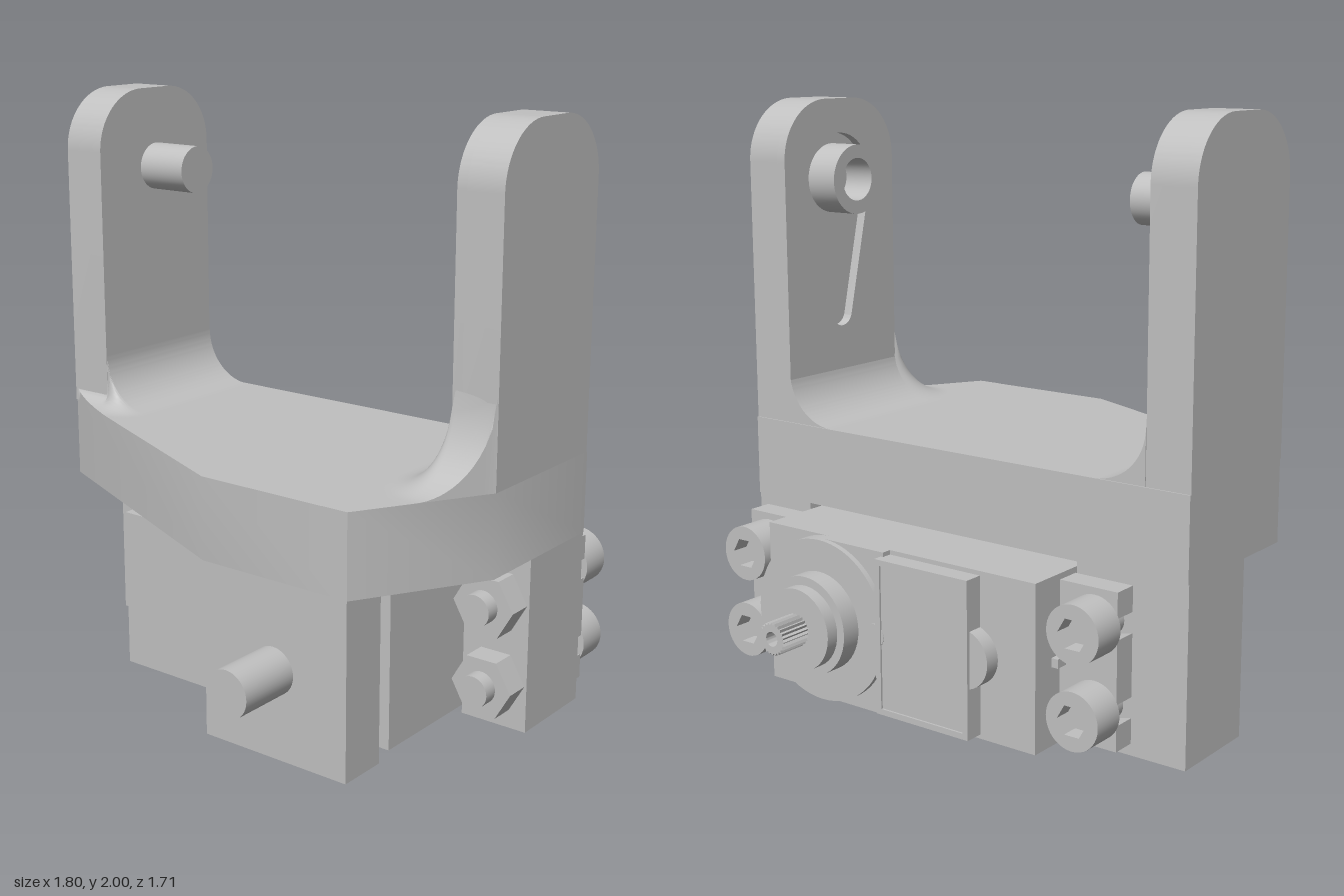
import * as THREE from 'three';
import { toCreasedNormals } from 'three/addons/utils/BufferGeometryUtils.js';

export function createModel() {
  const model = new THREE.Group();
  const grey = new THREE.MeshStandardMaterial({ color: 0xc0c0c0 });
  grey.name = 'grey';

  // ---- helpers ----
  const add = (name, geo) => {
    const mesh = new THREE.Mesh(geo, grey);
    mesh.name = name;
    model.add(mesh);
    return mesh;
  };
  const box = (name, x0, x1, y0, y1, z0, z1) =>
    add(name, new THREE.BoxGeometry(x1 - x0, y1 - y0, z1 - z0)
      .translate((x0 + x1) / 2, (y0 + y1) / 2, (z0 + z1) / 2));
  const poly = (pts) => new THREE.Shape(pts.map(([x, y]) => new THREE.Vector2(x, y)));
  const extrude = (shape, depth) => toCreasedNormals(
    new THREE.ExtrudeGeometry(shape, { depth, bevelEnabled: false, curveSegments: 20 }), 0.6);
  const extrudeZ = (name, shape, z0, z1) => add(name, extrude(shape, z1 - z0).translate(0, 0, z0));
  // shape x is -z here
  const extrudeX = (name, shape, x0, x1) =>
    add(name, extrude(shape, x1 - x0).rotateY(Math.PI / 2).translate(x0, 0, 0));
  const rodZ = (name, x, y, r, z0, z1, sides = 40) =>
    add(name, new THREE.CylinderGeometry(r, r, z1 - z0, sides)
      .rotateX(Math.PI / 2).translate(x, y, (z0 + z1) / 2));
  const circle = (x, y, r) => new THREE.Shape().absarc(x, y, r, 0, Math.PI * 2, false);
  const ring = (x, y, r, hole) => {
    const s = circle(x, y, r);
    s.holes.push(hole);
    return s;
  };
  const hexagon = (x, y, r) => poly(Array.from({ length: 6 }, (_, i) =>
    [x + r * Math.cos(i * Math.PI / 3), y + r * Math.sin(i * Math.PI / 3)]));

  // ---- bracket: roof slab, legs and front post ----
  const plan = poly([[-0.9, 0.36], [-0.9, -0.2], [0.08, -0.625], [0.65, -0.625], [0.9, -0.2], [0.9, 0.36]]);
  add('roofSlab', extrude(plan, 0.28).rotateX(-Math.PI / 2).translate(0, 0.6, 0));
  box('rightLeg', -0.9, -0.49, 0, 0.6, -0.355, -0.02);
  box('leftLeg', 0.655, 0.9, 0, 0.6, -0.355, -0.02);
  box('frontPost', 0.085, 0.65, 0, 0.6, 0.45, 0.625);
  rodZ('frontPin', 0.365, 0.3, 0.08, 0.62, 0.85);

  // ---- upright arms with rounded tops ----
  const armShape = () => {
    const s = new THREE.Shape();
    const r = 0.21;
    s.moveTo(-0.205, 0.88);
    s.lineTo(0.355, 0.88);
    s.lineTo(0.355, 2 - r);
    s.absarc(0.355 - r, 2 - r, r, 0, Math.PI / 2, false);
    s.lineTo(-0.205 + r, 2);
    s.absarc(-0.205 + r, 2 - r, r, Math.PI / 2, Math.PI, false);
    s.closePath();
    return s;
  };
  extrudeX('rightArm', armShape(), -0.9, -0.74);
  extrudeX('leftArm', armShape(), 0.77, 0.9);

  // inner layer of the left arm carries a tapered keyhole recess
  const slotted = armShape();
  const slot = new THREE.Path();
  const tilt = 0.22;
  slot.absarc(0.08, 1.72, 0.16, -tilt, Math.PI + tilt, false);
  slot.absarc(0.08, 1.24, 0.05, Math.PI + tilt, 2 * Math.PI - tilt, false);
  slot.closePath();
  slotted.holes.push(slot);
  extrudeX('leftArmRecessLayer', slotted, 0.735, 0.77);

  // pivots
  extrudeX('rightPivotPin', circle(0.08, 1.72, 0.083), -0.745, -0.545);
  extrudeX('leftPivotBoss', ring(0.08, 1.72, 0.122, circle(0.08, 1.72, 0.075)), 0.65, 0.775);

  // ---- fillets between arms and roof ----
  for (const side of [-1, 1]) {
    const s = new THREE.Shape();
    s.moveTo(0.738, 0.88);
    s.lineTo(0.738, 1.065);
    s.absarc(0.553, 1.065, 0.185, 0, -Math.PI / 2, true);
    s.closePath();
    const geo = extrude(s, 0.56);
    if (side < 0) geo.rotateY(Math.PI).translate(0, 0, 0.205);
    else geo.translate(0, 0, -0.355);
    add(side < 0 ? 'rightInnerFillet' : 'leftInnerFillet', geo);
  }

  // front fillet: a surface falling from the arm to the roof, cut by the roof's slanted edge
  const frontFillet = (name, side, x0, x1, width, height, edgeZ) => {
    const n = 32;
    const pos = [];
    const point = (i, j) => {
      const x = x0 + (x1 - x0) * i / n;
      const z = 0.203 + Math.max(0, edgeZ(x) - 0.203) * j / n;
      const a = Math.max(0, 0.738 - side * x) / 0.185;
      const b = (z - 0.203) / width;
      const d = Math.min(1, Math.hypot(a, b));
      const w = a < 1e-6 ? 1 : b * b / (a * a + b * b);
      const h = 0.185 + (height - 0.185) * w;
      return [x, 0.8805 + h * (1 - Math.sqrt(1 - (1 - d) ** 2)), z];
    };
    const foot = (p) => [p[0], 0.88, p[2]];
    const quad = (a, b, c, d) => pos.push(...a, ...b, ...c, ...c, ...b, ...d);
    for (let i = 0; i < n; i++) {
      for (let j = 0; j < n; j++) quad(point(i, j), point(i, j + 1), point(i + 1, j), point(i + 1, j + 1));
      const p = point(i, n), q = point(i + 1, n);
      quad(p, foot(p), q, foot(q));
    }
    const geo = new THREE.BufferGeometry();
    geo.setAttribute('position', new THREE.Float32BufferAttribute(pos, 3));
    add(name, toCreasedNormals(geo, 0.6));
  };
  frontFillet('leftFrontFillet', 1, 0.553, 0.9, 0.23, 0.32, (x) => Math.min(0.625, 0.625 - (x - 0.65) * 1.7));
  frontFillet('rightFrontFillet', -1, -0.9, -0.553, 0.12, 0.05, (x) => 0.2 + (x + 0.9) * 0.4337);

  // ---- servo body and gear cover ----
  box('servoBody', -0.485, 0.645, 0.02, 0.58, -0.57, 0.39);
  rodZ('gearCover', 0.365, 0.3, 0.28, -0.625, -0.56, 64);
  box('coverBridge', 0.1, 0.365, 0.02, 0.58, -0.605, -0.56);
  rodZ('coverEndBump', -0.24, 0.3, 0.1, -0.625, -0.56);
  rodZ('coverPin', 0.12, 0.3, 0.04, -0.632, -0.56, 24);
  box('labelPlate', -0.27, 0.11, 0.035, 0.565, -0.63, -0.56);
  const frame = poly([[-0.27, 0.035], [0.11, 0.035], [0.11, 0.565], [-0.27, 0.565]]);
  frame.holes.push(poly([[-0.25, 0.055], [0.09, 0.055], [0.09, 0.545], [-0.25, 0.545]]));
  extrudeZ('labelFrame', frame, -0.637, -0.63);

  // stepped output hub and splined shaft
  rodZ('hubBase', 0.365, 0.3, 0.17, -0.695, -0.6, 48);
  rodZ('hubStep', 0.365, 0.3, 0.14, -0.74, -0.69, 48);
  const teeth = 24;
  const spline = poly(Array.from({ length: teeth * 2 }, (_, i) => {
    const a = i * Math.PI / teeth, r = i % 2 ? 0.048 : 0.056;
    return [0.365 + r * Math.cos(a), 0.3 + r * Math.sin(a)];
  }));
  spline.holes.push(circle(0.365, 0.3, 0.025));
  extrudeZ('splinedShaft', spline, -0.855, -0.735);

  // ---- mounting tabs with open slots, bolts and nuts ----
  for (const side of [-1, 1]) {
    const inner = side < 0 ? -0.48 : 0.64;
    const outer = side < 0 ? -0.7 : 0.865;
    const boltX = side < 0 ? -0.615 : 0.78;
    const label = side < 0 ? 'right' : 'left';
    const tab = [[inner, 0.04], [outer, 0.04]];
    for (const y of [0.16, 0.44]) {
      for (const [x, dy] of [[outer, -0.035], [boltX, -0.055], [boltX, 0.055], [outer, 0.035]]) tab.push([x, y + dy]);
    }
    tab.push([outer, 0.56], [inner, 0.56]);
    extrudeZ(label + 'MountTab', poly(tab), -0.44, -0.355);
    box(label + 'TabRib', Math.min(inner, inner + side * 0.03), Math.max(inner, inner + side * 0.03), 0.285, 0.315, -0.485, -0.43);
    for (const y of [0.16, 0.44]) {
      rodZ(label + 'BoltShank', boltX, y, 0.055, -0.5, 0.12, 32);
      extrudeZ(label + 'BoltHead', ring(boltX, y, 0.097, hexagon(boltX, y, 0.055)), -0.56, -0.44);
      extrudeZ(label + 'Nut', hexagon(boltX, y, 0.112), -0.02, 0.068);
    }
  }
  return model;
}
